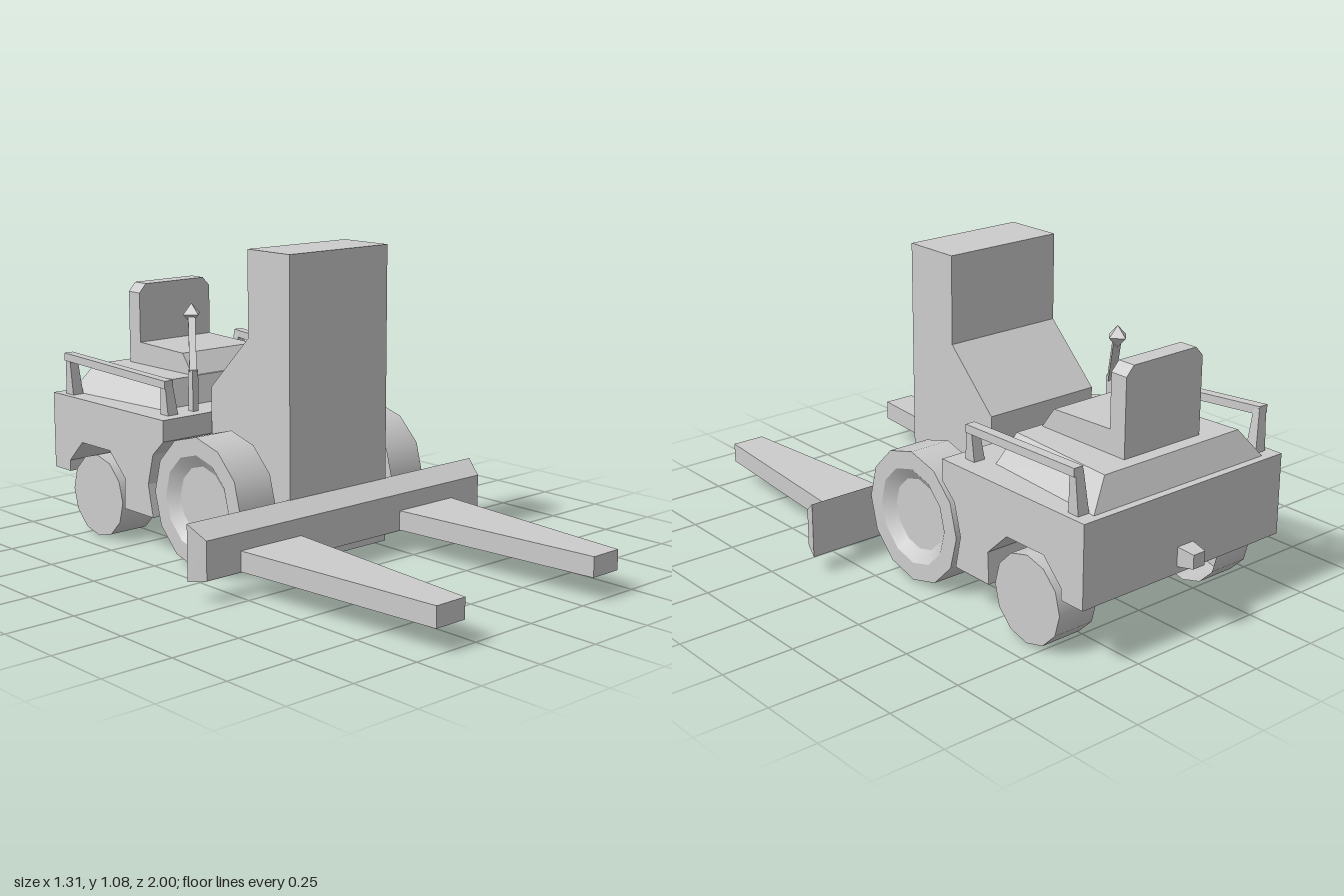
import * as THREE from 'three';
import { mergeGeometries } from 'three/addons/utils/BufferGeometryUtils.js';

const flat = new THREE.MeshStandardMaterial({ color: 0xcccccc, flatShading: true, side: THREE.DoubleSide });
const smooth = new THREE.MeshStandardMaterial({ color: 0xcccccc, side: THREE.DoubleSide });

function part(name, geometry, material = flat) {
  const mesh = new THREE.Mesh(geometry, material);
  mesh.name = name;
  return mesh;
}

// Box whose corners are placed by a rule taking the corner signs
function block(name, corner, openBottom = false) {
  const g = new THREE.BoxGeometry(2, 2, 2);
  const p = g.attributes.position;
  for (let i = 0; i < p.count; i++) {
    p.setXYZ(i, ...corner(Math.sign(p.getX(i)), Math.sign(p.getY(i)), Math.sign(p.getZ(i))));
  }
  // index groups run +x, -x, +y, -y, +z, -z with six entries each
  if (openBottom) {
    const index = Array.from(g.index.array);
    index.splice(18, 6);
    g.setIndex(index);
    g.clearGroups();
  }
  g.computeVertexNormals();
  return part(name, g);
}

// Side profile of [z, y] points extruded across x
function profile(name, points, halfWidth) {
  const shape = new THREE.Shape(points.map(([z, y]) => new THREE.Vector2(z, y)));
  const g = new THREE.ExtrudeGeometry(shape, { depth: halfWidth * 2, bevelEnabled: false });
  g.rotateY(-Math.PI / 2).translate(halfWidth, 0, 0);
  return part(name, g);
}

// Square bar between two points
function beam(name, a, b, width, height) {
  const from = new THREE.Vector3(...a), to = new THREE.Vector3(...b);
  const mesh = part(name, new THREE.BoxGeometry(width, height, from.distanceTo(to)));
  mesh.position.copy(from).add(to).multiplyScalar(0.5);
  mesh.lookAt(to);
  return mesh;
}

// Twelve-sided wheel, open on the inner side; each band is lathed apart for sharp rims
function wheel(name, rings, side, y, z) {
  const bands = rings.slice(1).map((ring, i) => new THREE.LatheGeometry(
    [new THREE.Vector2(...rings[i]), new THREE.Vector2(...ring)], 12));
  const g = mergeGeometries(bands);
  g.rotateZ(-Math.PI / 2);
  if (side < 0) g.rotateY(Math.PI);
  const mesh = part(name, g, smooth);
  mesh.position.set(side * 0.27, y, z);
  return mesh;
}

export function createModel() {
  const model = new THREE.Group();
  model.name = 'forklift';

  // Mast housing
  model.add(profile('mast', [
    [0.135, 0.035], [0.135, 1.08], [-0.075, 1.08], [-0.075, 0.78], [-0.275, 0.585], [-0.275, 0.035],
  ], 0.222));

  // Body with wheel arches
  model.add(profile('body', [
    [-0.28, 0.495], [-0.28, 0.42], [-0.34, 0.365], [-0.37, 0.255], [-0.345, 0.14], [-0.51, 0.14],
    [-0.505, 0.25], [-0.595, 0.335], [-0.765, 0.335], [-0.845, 0.255], [-0.845, 0.215],
    [-0.94, 0.215], [-0.94, 0.495],
  ], 0.43));

  // Hood, tapering upward and toward the front
  model.add(block('hood', (x, y, z) => [
    x * (y < 0 ? (z > 0 ? 0.33 : 0.37) : (z > 0 ? 0.26 : 0.29)),
    y < 0 ? 0.49 : 0.592,
    y < 0 ? (z > 0 ? -0.42 : -0.915) : (z > 0 ? -0.445 : -0.875),
  ]));

  // Seat
  const seat = new THREE.Group();
  seat.name = 'seat';
  seat.add(profile('seatCushion', [
    [-0.45, 0.585], [-0.465, 0.605], [-0.51, 0.665], [-0.77, 0.673], [-0.77, 0.585],
  ], 0.163));
  const back = new THREE.Shape([
    [-0.163, 0.585], [0.163, 0.585], [0.163, 0.855], [0.133, 0.887], [-0.133, 0.887], [-0.163, 0.855],
  ].map(([x, y]) => new THREE.Vector2(x, y)));
  const backrest = part('backrest', new THREE.ExtrudeGeometry(back, { depth: 0.065, bevelEnabled: false }));
  backrest.position.z = -0.827;
  seat.add(backrest);
  model.add(seat);

  // Control lever with a faceted knob
  const lever = new THREE.Group();
  lever.name = 'controlLever';
  const knob = part('leverKnob', new THREE.OctahedronGeometry(0.038));
  knob.position.set(-0.175, 0.817, -0.44);
  lever.add(
    beam('leverPost', [-0.25, 0.49, -0.34], [-0.25, 0.64, -0.34], 0.025, 0.025),
    beam('leverArm', [-0.25, 0.63, -0.34], [-0.175, 0.817, -0.44], 0.025, 0.025),
    knob,
  );
  model.add(lever);

  // Carriage plate with bevelled edges
  model.add(block('carriage', (x, y, z) => [
    x * (z > 0 ? 0.63 : 0.655),
    z > 0 ? (y > 0 ? 0.215 : 0.083) : (y > 0 ? 0.262 : 0.07),
    z > 0 ? 0.2 : 0.133,
  ]));

  // Hitch
  model.add(block('hitch', (x, y, z) => [
    x * (z > 0 ? 0.035 : 0.025),
    0.272 + y * (z > 0 ? 0.034 : 0.024),
    z > 0 ? -0.935 : -1,
  ]));

  for (const s of [1, -1]) {
    const tag = s > 0 ? 'left' : 'right';

    // Tapered fork, hollow underneath
    model.add(block(tag + 'Fork', (x, y, z) => [
      s * 0.36 + x * (z > 0 ? 0.061 : 0.131),
      y > 0 ? 0.155 : 0.085,
      z > 0 ? 1 : 0.19,
    ], true));

    // Wheels: front with dished hub, rear with plain cap
    model.add(wheel(tag + 'FrontWheel',
      [[0.23, 0], [0.23, 0.153], [0.168, 0.153], [0.125, 0.123], [0, 0.123]], s, 0.235, -0.11));
    model.add(wheel(tag + 'RearWheel', [[0.15, 0], [0.15, 0.153], [0, 0.153]], s, 0.153, -0.683));

    // Handrail: two tapered posts and a rising bar
    const rail = new THREE.Group();
    rail.name = tag + 'Handrail';
    rail.add(
      block('frontPost', (x, y, z) => [
        s * (y > 0 ? 0.36 : 0.35) + x * (y > 0 ? 0.016 : 0.022),
        y > 0 ? 0.605 : 0.49,
        -0.348 + z * (y > 0 ? 0.012 : 0.022),
      ]),
      block('rearPost', (x, y, z) => [
        s * (y > 0 ? 0.397 : 0.385) + x * (y > 0 ? 0.016 : 0.022),
        y > 0 ? 0.64 : 0.49,
        -0.868 + z * (y > 0 ? 0.012 : 0.022),
      ]),
      block('railBar', (x, y, z) => [
        s * (z > 0 ? 0.36 : 0.4) + x * 0.018,
        (z > 0 ? 0.602 : 0.634) + y * 0.014,
        z > 0 ? -0.335 : -0.88,
      ]),
    );
    model.add(rail);
  }
  return model;
}
